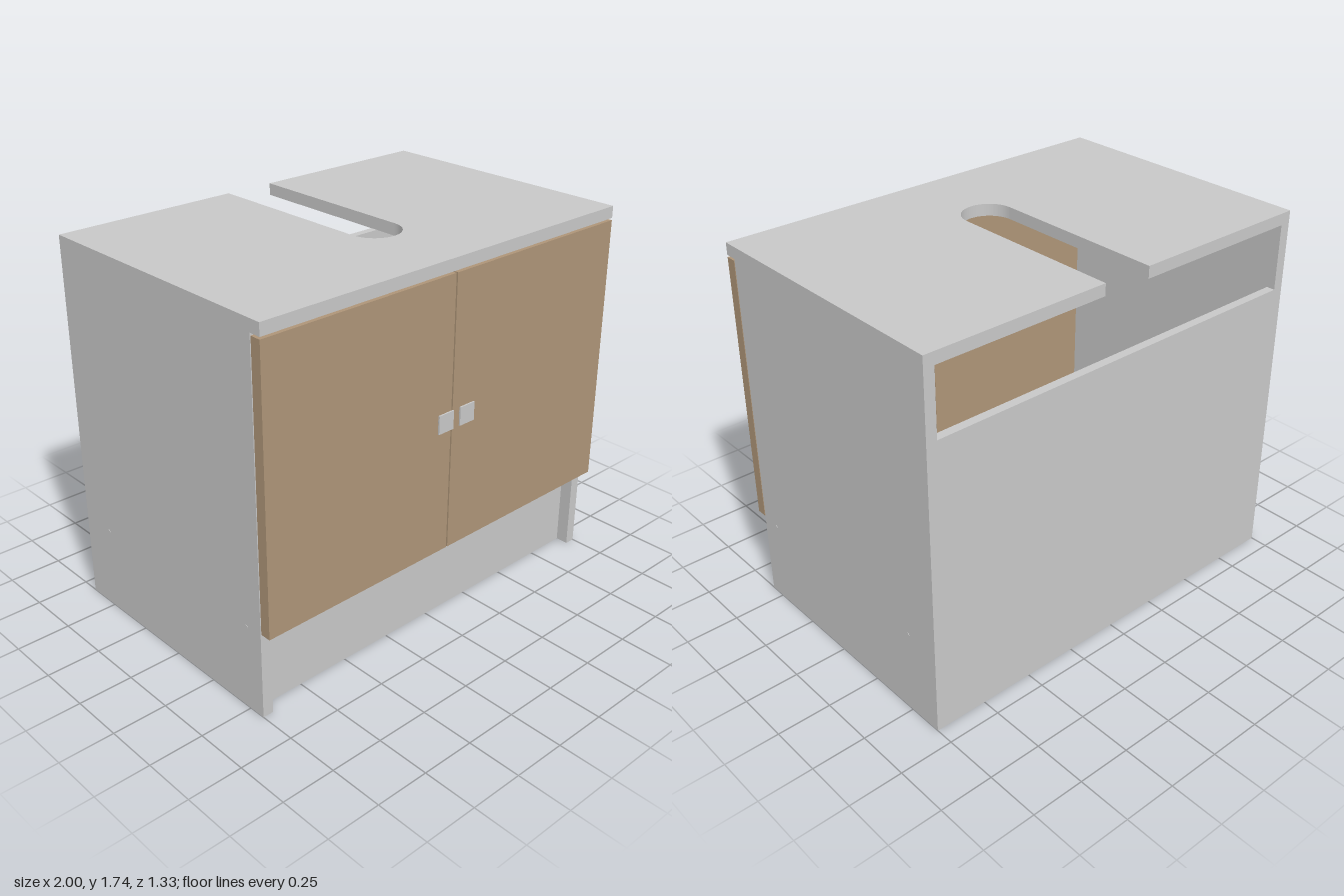
import * as THREE from 'three';

export function createModel() {
  const model = new THREE.Group();
  model.name = 'washstandCabinet';
  const grey = new THREE.MeshStandardMaterial({ name: 'light grey', color: 0xc8c8c8 });
  const wood = new THREE.MeshStandardMaterial({ name: 'wood brown', color: 0xae9578 });

  const add = (name, geometry, material) => {
    const mesh = new THREE.Mesh(geometry, material);
    mesh.name = name;
    model.add(mesh);
    return mesh;
  };
  // Box given by its lower and upper limits on each axis
  const box = (name, material, [x0, x1], [y0, y1], [z0, z1]) =>
    add(name, new THREE.BoxGeometry(x1 - x0, y1 - y0, z1 - z0), material)
      .position.set((x0 + x1) / 2, (y0 + y1) / 2, (z0 + z1) / 2);

  const back = -0.665, front = 0.58, topFront = 0.635, inner = 0.95;

  // Worktop with a round-ended slot open to the back
  const slot = 0.12, slotEnd = 0.28;
  const outline = new THREE.Shape();
  outline.moveTo(-1, back);
  outline.lineTo(-slot, back);
  outline.lineTo(-slot, slotEnd - slot);
  outline.absarc(0, slotEnd - slot, slot, Math.PI, 0, true);
  outline.lineTo(slot, back);
  outline.lineTo(1, back);
  outline.lineTo(1, topFront);
  outline.lineTo(-1, topFront);
  outline.closePath();
  const top = new THREE.ExtrudeGeometry(outline, { depth: 0.055, bevelEnabled: false, curveSegments: 24 });
  top.rotateX(Math.PI / 2);
  add('worktop', top, grey).position.y = 1.74;

  // Carcass
  box('backPanel', grey, [-inner, inner], [0, 1.38], [back, -0.625]);
  box('bottomShelf', grey, [-inner, inner], [0.375, 0.425], [-0.625, front]);
  box('toeKick', grey, [-inner, inner], [0, 0.375], [0.47, 0.52]);

  for (const [side, s] of [['left', 1], ['right', -1]]) {
    const span = (a, b) => (s > 0 ? [a, b] : [-b, -a]);
    box(side + 'SidePanel', grey, span(inner, 1), [0, 1.685], [back, front]);
    box(side + 'Door', wood, span(0.004, 1), [0.41, 1.675], [0.585, topFront]);

    // Square knob on a flared stem
    box(side + 'KnobPlate', grey, span(0.02, 0.105), [1.005, 1.09], [0.658, 0.665]);
    const stem = new THREE.CylinderGeometry(0.029, 0.02, 0.024, 24);
    stem.rotateX(Math.PI / 2);
    add(side + 'KnobStem', stem, grey).position.set(s * 0.0625, 1.0475, 0.647);

    // Shelf screw heads
    for (const z of [-0.49, 0.49]) {
      const head = new THREE.CylinderGeometry(0.01, 0.01, 0.006, 12);
      head.rotateZ(Math.PI / 2);
      add(side + 'ScrewHead', head, grey).position.set(s * 0.999, 0.398, z);
    }
  }
  return model;
}
